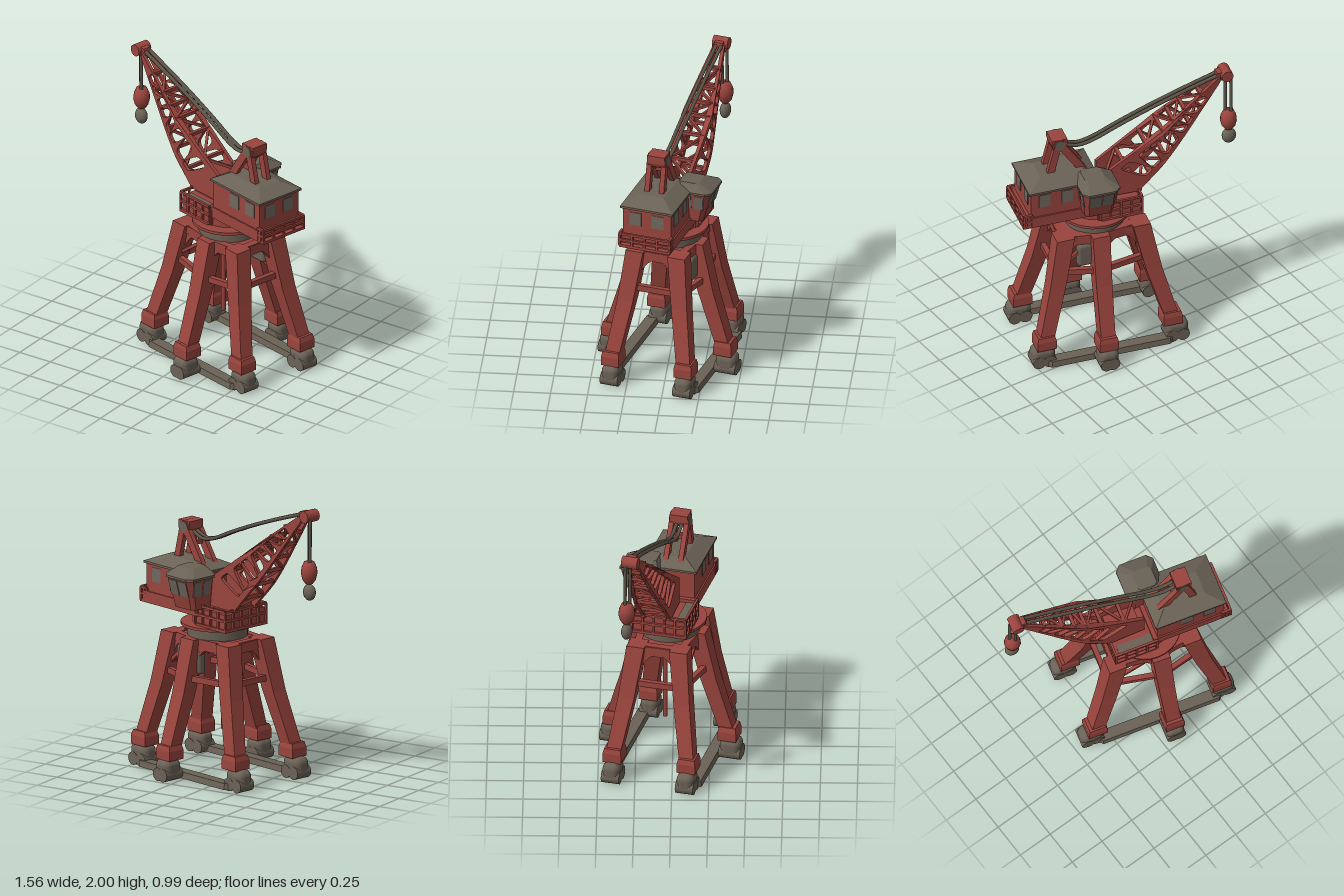
import * as THREE from 'three';
import { ConvexGeometry } from 'three/addons/geometries/ConvexGeometry.js';
import { RoundedBoxGeometry } from 'three/addons/geometries/RoundedBoxGeometry.js';

const mat = (name, color) => {
  const m = new THREE.MeshStandardMaterial({ color });
  m.name = name;
  return m;
};
const V = (x, y, z) => new THREE.Vector3(x, y, z);

export function createModel() {
  const red = mat('rust red', 0x9a443d);
  const grey = mat('warm grey', 0x6b6256);
  const glass = mat('window grey', 0x70685f);
  const rope = mat('rope grey', 0x5b5347);

  const root = new THREE.Group();
  root.name = 'harbourCrane';
  const crane = new THREE.Group();
  crane.name = 'crane';
  crane.position.set(0.18, 0, -0.02);
  crane.rotation.y = -THREE.MathUtils.degToRad(15);
  root.add(crane);

  const add = (name, geo, m, x = 0, y = 0, z = 0) => {
    const mesh = new THREE.Mesh(geo, m);
    mesh.name = name;
    mesh.position.set(x, y, z);
    crane.add(mesh);
    return mesh;
  };
  const box = (name, m, x0, x1, y0, y1, z0, z1) =>
    add(name, new THREE.BoxGeometry(x1 - x0, y1 - y0, z1 - z0), m, (x0 + x1) / 2, (y0 + y1) / 2, (z0 + z1) / 2);
  // straight beam of rectangular section between two points
  const beam = (name, m, a, b, w, h = w) => {
    const mesh = new THREE.Mesh(new THREE.BoxGeometry(w, h, a.distanceTo(b)), m);
    mesh.name = name;
    mesh.position.copy(a).lerp(b, 0.5);
    mesh.lookAt(b);
    crane.add(mesh);
  };
  // convex block from rectangular levels [y, centreX, centreZ, halfX, halfZ, cornerCut]
  const block = (name, m, ...levels) => {
    const pts = [];
    for (const [y, cx, cz, hx, hz, cut = 0] of levels)
      for (const sx of [-1, 1]) for (const sz of [-1, 1]) {
        pts.push(V(cx + sx * (hx - cut), y, cz + sz * hz));
        if (cut) pts.push(V(cx + sx * hx, y, cz + sz * (hz - cut)));
      }
    add(name, new ConvexGeometry(pts), m);
  };
  const axle = (name, m, r, len, x, y, z, seg = 16) => {
    add(name, new THREE.CylinderGeometry(r, r, len, seg), m, x, y, z).rotation.x = Math.PI / 2;
  };

  // six gantry legs, in order around the base: [topX, topZ, footX, footZ]
  const legs = [
    [-0.27, 0.15, -0.46, 0.26], [0.03, 0.19, 0.04, 0.405], [0.27, 0.15, 0.44, 0.26],
    [0.27, -0.15, 0.44, -0.26], [0.03, -0.19, 0.045, -0.4], [-0.27, -0.15, -0.455, -0.26],
  ];
  const at = (l, y) => {
    const t = (0.96 - y) / 0.76, k = t < 0.47 ? t * 0.85 : 0.4 + (t - 0.47) * 0.6 / 0.53;
    return V(l[0] + (l[2] - l[0]) * k, y, l[1] + (l[3] - l[1]) * k);
  };
  const level = (l, y, h) => { const p = at(l, y); return [y, p.x, p.z, h, h]; };
  legs.forEach((l, i) => {
    block('upperLeg', red, level(l, 0.96, 0.062), level(l, 0.6, 0.056));
    block('lowerLeg', red, level(l, 0.6, 0.056), level(l, 0.2, 0.05));
    block('legShoe', red, [0.15, l[2], l[3], 0.068, 0.064], [0.215, l[2], l[3], 0.068, 0.064], [0.25, l[2], l[3], 0.058, 0.056]);
    // bogies
    const mid = i % 3 === 1, len = mid ? 0.135 : 0.165, wide = mid ? 0.145 : 0.12;
    const x = l[2] + (mid ? 0 : l[2] < 0 ? -0.035 : 0.015), z = l[3] + (mid ? Math.sign(l[3]) * 0.015 : 0);
    add('bogie', new RoundedBoxGeometry(len, 0.13, wide, 4, 0.045), grey, x, 0.09, z);
    for (const s of [-1, 1]) axle('bogieWheel', grey, 0.046, wide + 0.005, x + s * (len / 2 - 0.045), 0.05, z);

    // arched panel, tie beam and brace to the next leg
    const n = legs[(i + 1) % 6], a = at(l, 0.96), b = at(n, 0.96), L = a.distanceTo(b);
    const s = new THREE.Shape();
    s.moveTo(0, 0.96);
    s.lineTo(0, 0.74);
    s.quadraticCurveTo(L * 0.22, 0.86, L * 0.36, 0.885);
    s.lineTo(L * 0.64, 0.885);
    s.quadraticCurveTo(L * 0.78, 0.86, L, 0.74);
    s.lineTo(L, 0.96);
    const panel = add('archedPanel', new THREE.ExtrudeGeometry(s, { depth: 0.05, bevelEnabled: false, curveSegments: 5 }), red, a.x, 0, a.z);
    panel.rotation.y = -Math.atan2(b.z - a.z, b.x - a.x);
    panel.translateZ(-0.025);
    beam('tieBeam', red, at(l, 0.69), at(n, 0.69), 0.035, 0.042);
    if (i % 3 === 0) beam('diagonalBrace', red, at(l, 0.7), at(l, 0.88).lerp(at(n, 0.88), 0.65), 0.022);
  });

  // gantry deck, hanging pipe and machine box
  block('gantryDeck', red, [0.9, 0, 0, 0.3, 0.19, 0.06], [0.955, 0, 0, 0.3, 0.19, 0.06]);
  add('hangingPipe', new THREE.CylinderGeometry(0.016, 0.016, 0.6, 8), red, -0.07, 0.61, -0.012);
  add('machineBox', new RoundedBoxGeometry(0.23, 0.18, 0.07, 2, 0.025), grey, 0.07, 0.8, -0.18);

  // ground beams joining the bogies on each side
  for (const s of [-1, 1])
    block('groundBeam', grey, [0.012, -0.01, s * 0.3, 0.45, 0.045, 0.03], [0.055, -0.01, s * 0.3, 0.45, 0.038, 0.03]);

  // slewing ring
  const ring = (name, m, r, y0, y1) => add(name, new THREE.CylinderGeometry(r, r, y1 - y0, 32), m, 0, (y0 + y1) / 2, 0);
  ring('ringBase', grey, 0.205, 0.955, 1.03);
  ring('ringFlange', red, 0.25, 1.03, 1.05);
  ring('ringNeck', red, 0.17, 1.05, 1.12);

  // slewing platform
  box('rearPlatform', red, 0, 0.53, 1.11, 1.19, -0.19, 0.175);
  box('frontPlatform', red, -0.27, 0.03, 1.045, 1.165, -0.178, 0.178);
  box('walkwayFloor', grey, -0.25, -0.002, 1.163, 1.17, 0.115, 0.175);
  box('platformLip', red, -0.285, 0.01, 1.045, 1.065, -0.195, 0.195);
  box('endWalkway', red, 0.5, 0.565, 1.11, 1.13, -0.19, 0.175);
  const railing = (pts, y0, y1) => pts.slice(1).forEach((q, i) => {
    const a = V(pts[i][0], 0, pts[i][1]), b = V(q[0], 0, q[1]);
    for (const y of [y1, (y0 + y1) / 2]) beam('handRail', red, a.clone().setY(y), b.clone().setY(y), 0.016);
    const n = Math.max(2, Math.round(a.distanceTo(b) / 0.08));
    for (let k = 0; k <= n; k++) {
      const c = a.clone().lerp(b, k / n);
      beam('railPost', red, c.clone().setY(y0), c.clone().setY(y1), 0.014);
    }
  });
  railing([[0.02, 0.188], [-0.278, 0.188], [-0.278, -0.188], [0.02, -0.188]], 1.06, 1.19);
  railing([[0.5, 0.172], [0.558, 0.172], [0.558, -0.185], [0.5, -0.185]], 1.12, 1.21);

  // machinery house
  box('houseWalls', red, 0.03, 0.51, 1.17, 1.39, -0.18, 0.165);
  block('houseRoof', grey, [1.385, 0.27, -0.0075, 0.255, 0.188], [1.4, 0.27, -0.0075, 0.255, 0.188], [1.45, 0.26, -0.005, 0.15, 0.085]);
  for (const x of [0.25, 0.41]) {
    box('sideWindow', glass, x - 0.045, x + 0.045, 1.265, 1.365, 0.164, 0.169);
    box('backWindow', glass, x - 0.04, x + 0.04, 1.265, 1.365, -0.184, -0.179);
  }
  for (const z of [-0.085, 0.075]) box('endWindow', glass, 0.509, 0.514, 1.265, 1.36, z - 0.042, z + 0.042);

  // operator's cab, narrower at its floor
  block('cabWalls', red, [1.17, 0.05, -0.18, 0.1, 0.09, 0.025], [1.39, 0.05, -0.205, 0.125, 0.125, 0.035]);
  block('cabRoof', grey, [1.385, 0.05, -0.205, 0.135, 0.135, 0.038], [1.4, 0.05, -0.205, 0.135, 0.135, 0.038], [1.45, 0.07, -0.17, 0.07, 0.07, 0.02]);
  for (const s of [-1, 1]) for (const z of [-0.25, -0.165])
    add('cabSideWindow', new THREE.BoxGeometry(0.006, 0.1, 0.065), glass, 0.05 + s * 0.1176, 1.32, z).rotation.z = -s * 0.113;
  for (const s of [-1, 1])
    add('cabFrontWindow', new THREE.BoxGeometry(0.08, 0.11, 0.006), glass, 0.05 + s * 0.046, 1.32, -0.3135).rotation.x = -0.266;

  // jib: two pierced side plates that spread apart in the middle
  const jibZ = -0.015;
  const curve = (pts) => new THREE.SplineCurve(pts.map(([x, y]) => new THREE.Vector2(x, y)));
  const upper = curve([[-0.88, 1.965], [-0.6, 1.765], [-0.39, 1.61], [-0.03, 1.37]]);
  const lower = curve([[-0.88, 1.92], [-0.735, 1.72], [-0.53, 1.45], [-0.3, 1.2]]);
  const P = (t, s) => lower.getPoint(t).lerp(upper.getPoint(t), s);
  const spread = (x) => x < -0.45 ? THREE.MathUtils.mapLinear(x, -0.9, -0.45, 0.025, 0.095)
    : THREE.MathUtils.mapLinear(x, -0.45, -0.03, 0.095, 0.08);
  const jibPoint = (p, side) => V(p.x, p.y, jibZ + side * spread(p.x));
  const jibShape = new THREE.Shape([...upper.getPoints(20), new THREE.Vector2(-0.03, 1.18),
    new THREE.Vector2(-0.3, 1.18), ...lower.getPoints(20).reverse()]);
  for (let i = 0; i < 8; i++) {
    const a = 0.2 + i * 0.09, b = a + 0.07, lean = (i % 2 ? 1 : -1) * 0.012;
    const corners = [P(a - lean, 0.16), P(b - lean, 0.16), P(b + lean, 0.84), P(a + lean, 0.84)];
    const hole = new THREE.Path();
    corners.forEach((c, k) => {
      const p = c.clone().lerp(corners[(k + 3) % 4], 0.25), q = c.clone().lerp(corners[(k + 1) % 4], 0.25);
      if (k) hole.lineTo(p.x, p.y); else hole.moveTo(p.x, p.y);
      hole.quadraticCurveTo(c.x, c.y, q.x, q.y);
    });
    hole.closePath();
    jibShape.holes.push(hole);
  }
  for (const s of [-1, 1]) {
    const g = new THREE.ExtrudeGeometry(jibShape, { depth: 0.024, bevelEnabled: false, curveSegments: 3 });
    const p = g.attributes.position;
    for (let i = 0; i < p.count; i++) p.setZ(i, p.getZ(i) - 0.012 + jibZ + s * spread(p.getX(i)));
    g.computeVertexNormals();
    add('jibSidePlate', g, red);
  }
  // cross bars and lacing on the upper and lower faces of the jib
  for (const s of [0.06, 0.94]) for (let i = 0; i < 6; i++) {
    const t = 0.19 + i * 0.135, p = P(t, s), q = P(t + 0.135, s), d = i % 2 ? 1 : -1;
    beam('jibCrossBar', red, jibPoint(p, -1), jibPoint(p, 1), 0.024);
    beam('jibLacing', red, jibPoint(p, d), jibPoint(q, -d), 0.018);
  }
  box('jibFoot', red, -0.27, -0.05, 1.15, 1.25, -0.09, 0.07);
  block('jibTip', red, [1.92, -0.88, jibZ, 0.04, 0.03], [1.985, -0.9, jibZ, 0.04, 0.03]);
  axle('jibHead', red, 0.042, 0.11, -0.925, 1.958, jibZ);

  // stay frame on the house
  for (const z of [-0.052, 0.052]) {
    beam('frontStrut', red, V(0.25, 1.65, z), V(0.06, 1.36, z), 0.034, 0.055);
    beam('rearStrut', red, V(0.28, 1.65, z), V(0.34, 1.4, z), 0.034, 0.05);
  }
  beam('stayCrossBar', red, V(0.2, 1.56, -0.05), V(0.2, 1.56, 0.05), 0.03);
  axle('stayHead', red, 0.052, 0.13, 0.265, 1.655, 0, 12);
  box('stayCap', red, 0.21, 0.32, 1.66, 1.705, -0.062, 0.062);
  for (const s of [-1, 1]) axle('stayPin', grey, 0.038, 0.008, 0.265, 1.662, s * 0.066);

  // luffing ropes sagging from the jib head to the stay frame
  const tube = (name, pts, r) => add(name, new THREE.TubeGeometry(new THREE.CatmullRomCurve3(pts), 30, r, 8), rope);
  const sag = [[-0.9, 1.975], [-0.62, 1.88], [-0.39, 1.795], [-0.16, 1.7], [0.02, 1.62], [0.13, 1.6], [0.25, 1.645]];
  for (const z of [-0.018, 0.018]) tube('luffingRope', sag.map(([x, y]) => V(x, y, z + jibZ * (0.25 - x))), 0.013);

  // hoist ropes, hook block and hook weight
  for (const s of [-1, 1])
    tube('hoistRope', [V(-0.942 + s * 0.016, 1.95, -0.028 + s * 0.012), V(-0.942 + s * 0.016, 1.62, -0.032 + s * 0.012)], 0.012);
  const profile = [[0, -0.08], [0.025, -0.075], [0.047, -0.045], [0.058, 0], [0.054, 0.035], [0.035, 0.078], [0, 0.08]];
  add('hookBlock', new THREE.LatheGeometry(profile.map(([x, y]) => new THREE.Vector2(x, y)), 12), red, -0.942, 1.57, -0.035);
  add('hookWeight', new THREE.SphereGeometry(0.05, 16, 12), grey, -0.945, 1.435, -0.035).scale.set(1, 1.15, 0.75);

  return root;
}
